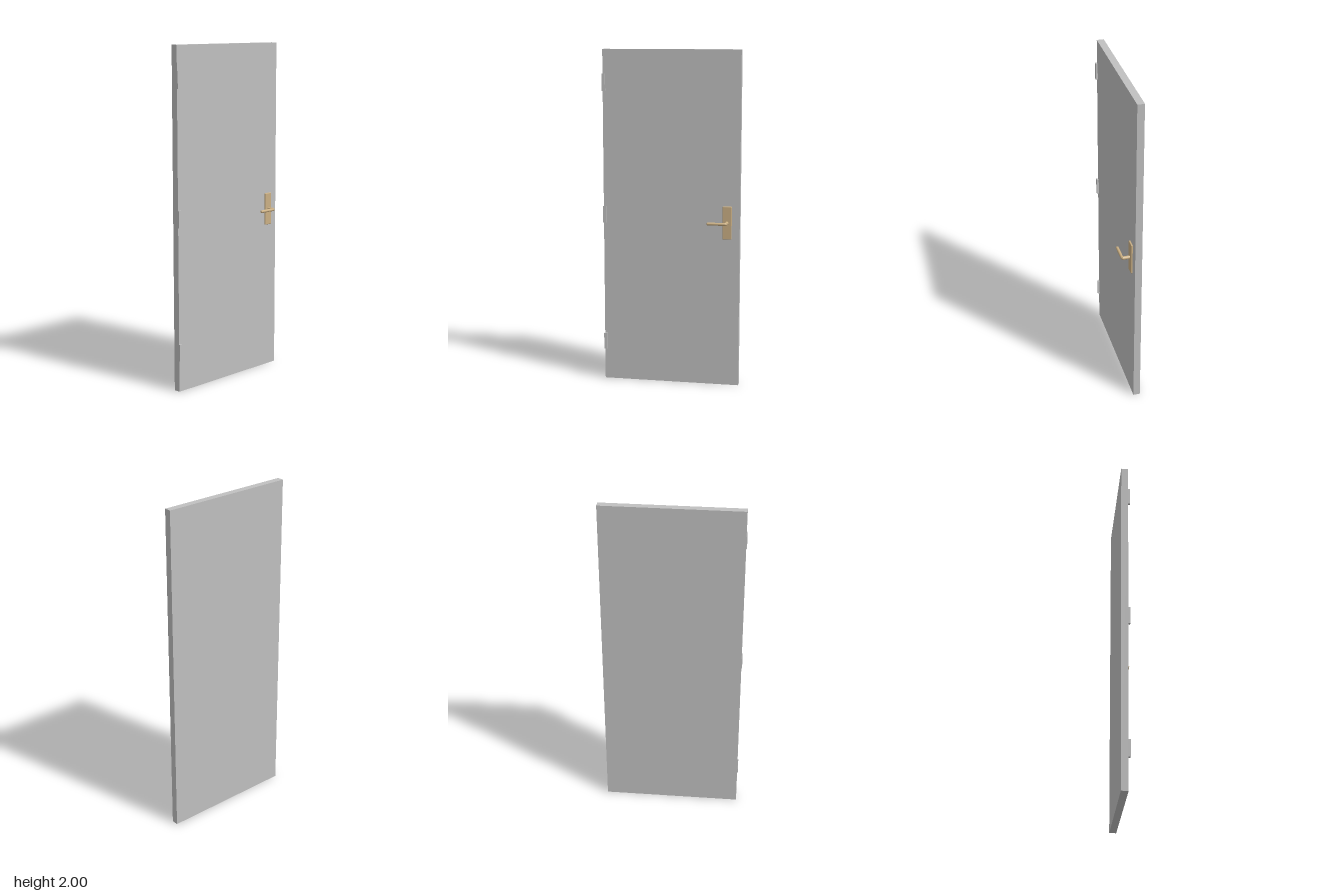
import * as THREE from 'three';
import { RoundedBoxGeometry } from 'three/addons/geometries/RoundedBoxGeometry.js';

export function createModel() {
  const model = new THREE.Group();
  const grey = new THREE.MeshStandardMaterial({ name: 'door grey', color: 0xc0c0c0 });
  const brass = new THREE.MeshStandardMaterial({ name: 'brass', color: 0xcbb084 });

  const add = (name, geometry, material, x, y, z, parent = model) => {
    const mesh = new THREE.Mesh(geometry, material);
    mesh.name = name;
    mesh.position.set(x, y, z);
    parent.add(mesh);
    return mesh;
  };

  // Plain slab
  add('doorPanel', new THREE.BoxGeometry(0.041, 2, 0.82), grey, -0.0315, 1, -0.002);

  // Three hinge leaves, reaching just past the edge
  const hinge = new THREE.BoxGeometry(0.011, 0.1, 0.02);
  for (const y of [0.236, 1.021, 1.807]) add('hinge', hinge, grey, -0.0055, y, 0.402);

  // Lever handle with a long backplate
  const handle = new THREE.Group();
  handle.name = 'handle';
  model.add(handle);
  add('backplate', new RoundedBoxGeometry(0.011, 0.196, 0.054, 2, 0.004), brass, -0.0055, 0.992, -0.338, handle);

  const y = 0.992, z = -0.337;
  const stem = add('stem', new THREE.CylinderGeometry(0.01, 0.01, 0.044, 24), brass, 0.02, y, z, handle);
  stem.rotation.z = Math.PI / 2;

  // Lever turns out of the stem and runs along the door
  const path = new THREE.CurvePath();
  const point = (px, pz) => new THREE.Vector3(px, y, pz);
  path.add(new THREE.LineCurve3(point(0.032, z), point(0.036, z)));
  path.add(new THREE.QuadraticBezierCurve3(point(0.036, z), point(0.0435, z), point(0.0435, z + 0.0085)));
  path.add(new THREE.LineCurve3(point(0.0435, z + 0.0085), point(0.0435, -0.229)));
  add('lever', new THREE.TubeGeometry(path, 60, 0.0085, 20), brass, 0, 0, 0, handle);

  // Rounded lever tip
  const tip = add('leverTip', new THREE.SphereGeometry(0.0085, 20, 8, 0, Math.PI * 2, 0, Math.PI / 2), brass, 0.0435, y, -0.229, handle);
  tip.rotation.x = Math.PI / 2;
  tip.scale.y = 0.7;

  return model;
}
